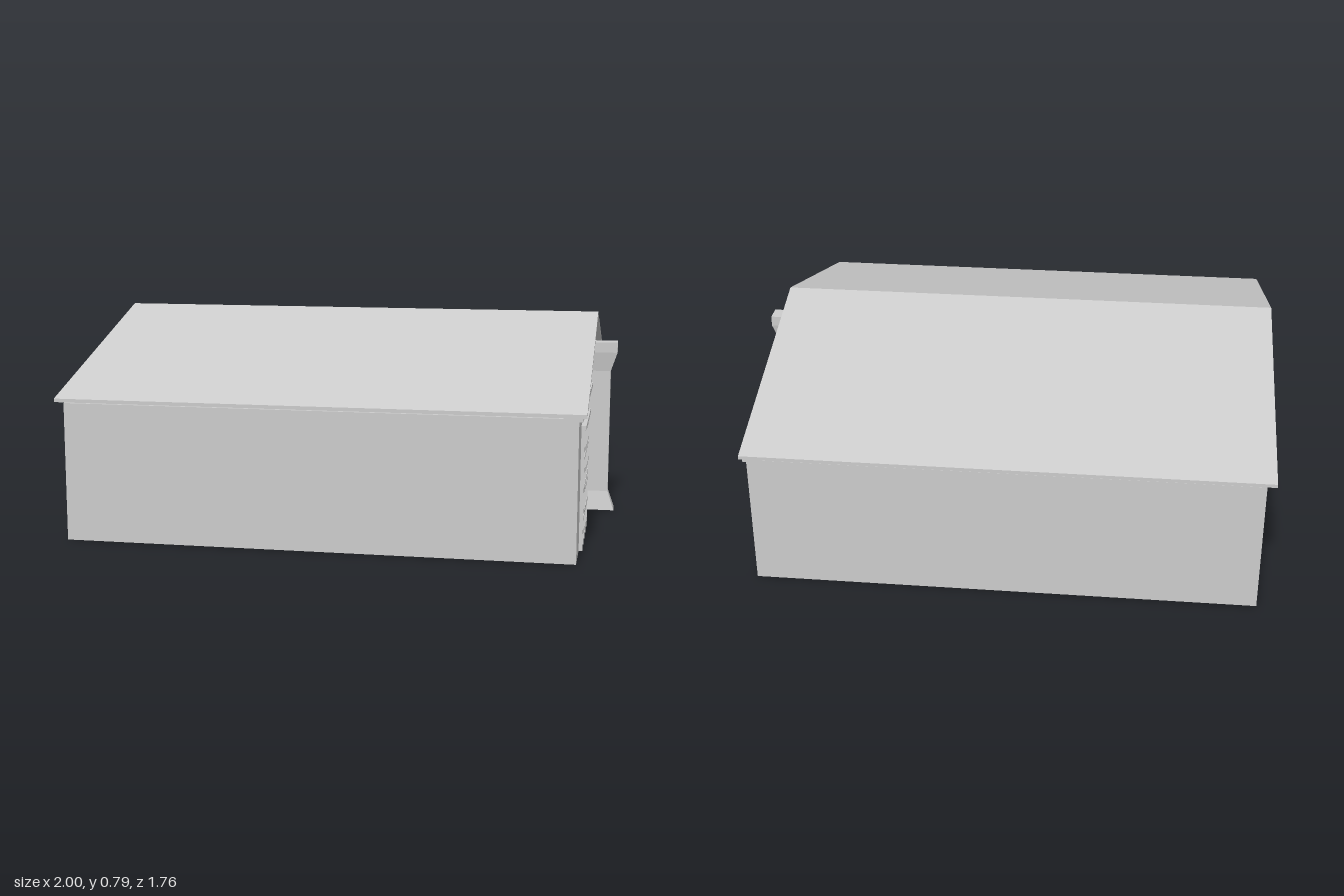
import * as THREE from 'three';

const material = new THREE.MeshStandardMaterial({ color: 0xcccccc, flatShading: true });

function add(parent, name, geometry) {
  const mesh = new THREE.Mesh(geometry, material);
  mesh.name = name;
  parent.add(mesh);
  return mesh;
}

// Box given by its lower and upper limits on each axis
function box(parent, name, [x0, x1], [y0, y1], [z0, z1]) {
  const mesh = add(parent, name, new THREE.BoxGeometry(x1 - x0, y1 - y0, z1 - z0));
  mesh.position.set((x0 + x1) / 2, (y0 + y1) / 2, (z0 + z1) / 2);
  return mesh;
}

// Outline of [z, y] points extruded along x
function prism(parent, name, points, x0, x1) {
  const shape = new THREE.Shape(points.map(([z, y]) => new THREE.Vector2(-z, y)));
  const geometry = new THREE.ExtrudeGeometry(shape, { depth: x1 - x0, bevelEnabled: false });
  geometry.rotateY(Math.PI / 2).translate(x0, 0, 0);
  return add(parent, name, geometry);
}

// Large gridded door, centred on z
function createDoor(z) {
  const door = new THREE.Group();
  door.name = 'griddedDoor';
  const half = 0.188, height = 0.445, t = 0.005, wall = 0.885, face = 0.906;
  for (let i = 0; i <= 4; i++) {
    const c = z - half + t + (i / 4) * 2 * (half - t);
    box(door, 'verticalBar', [wall, face], [0, height], [c - t, c + t]);
  }
  for (let i = 1; i <= 3; i++) {
    const y = (i / 4) * height;
    box(door, 'horizontalBar', [wall, face], [y - t, y + t], [z - half, z + half]);
  }
  box(door, 'lintel', [wall, 0.911], [height - 0.005, 0.455], [z - half - 0.006, z + half + 0.006]);
  return door;
}

// Square shaft flared outward at its foot and head
function createChimney() {
  const levels = [ // y, half width, outer x
    [0, 0.035, 1.0], [0.075, 0.021, 0.975], [0.56, 0.021, 0.975],
    [0.635, 0.034, 1.0], [0.675, 0.034, 1.0],
  ];
  const geometry = new THREE.BoxGeometry(1, 1, 1, 1, levels.length - 1, 1);
  const p = geometry.attributes.position;
  for (let i = 0; i < p.count; i++) {
    const [y, half, outer] = levels[Math.round((p.getY(i) + 0.5) * (levels.length - 1))];
    p.setXYZ(i, p.getX(i) > 0 ? outer : 0.893, y, Math.sign(p.getZ(i)) * half);
  }
  geometry.computeVertexNormals();
  return geometry;
}

export function createModel() {
  const model = new THREE.Group();
  model.name = 'gabledBuilding';

  // Walls and the gable, which is set back on the door side
  box(model, 'walls', [-0.965, 0.893], [0, 0.51], [-0.876, 0.876]);
  prism(model, 'gable', [[-0.872, 0.505], [0, 0.781], [0.872, 0.505]], -0.965, 0.85);

  // Thin folded roof
  prism(model, 'roof', [
    [-0.88, 0.513], [-0.88, 0.526], [0, 0.793], [0.88, 0.526], [0.88, 0.513], [0, 0.779],
  ], -1, 0.92);

  // Ledge below the recessed gable
  box(model, 'ledge', [0.84, 0.907], [0.5, 0.515], [-0.876, 0.876]);

  for (const side of [-1, 1]) model.add(createDoor(side * 0.5));
  add(model, 'chimney', createChimney());
  return model;
}
